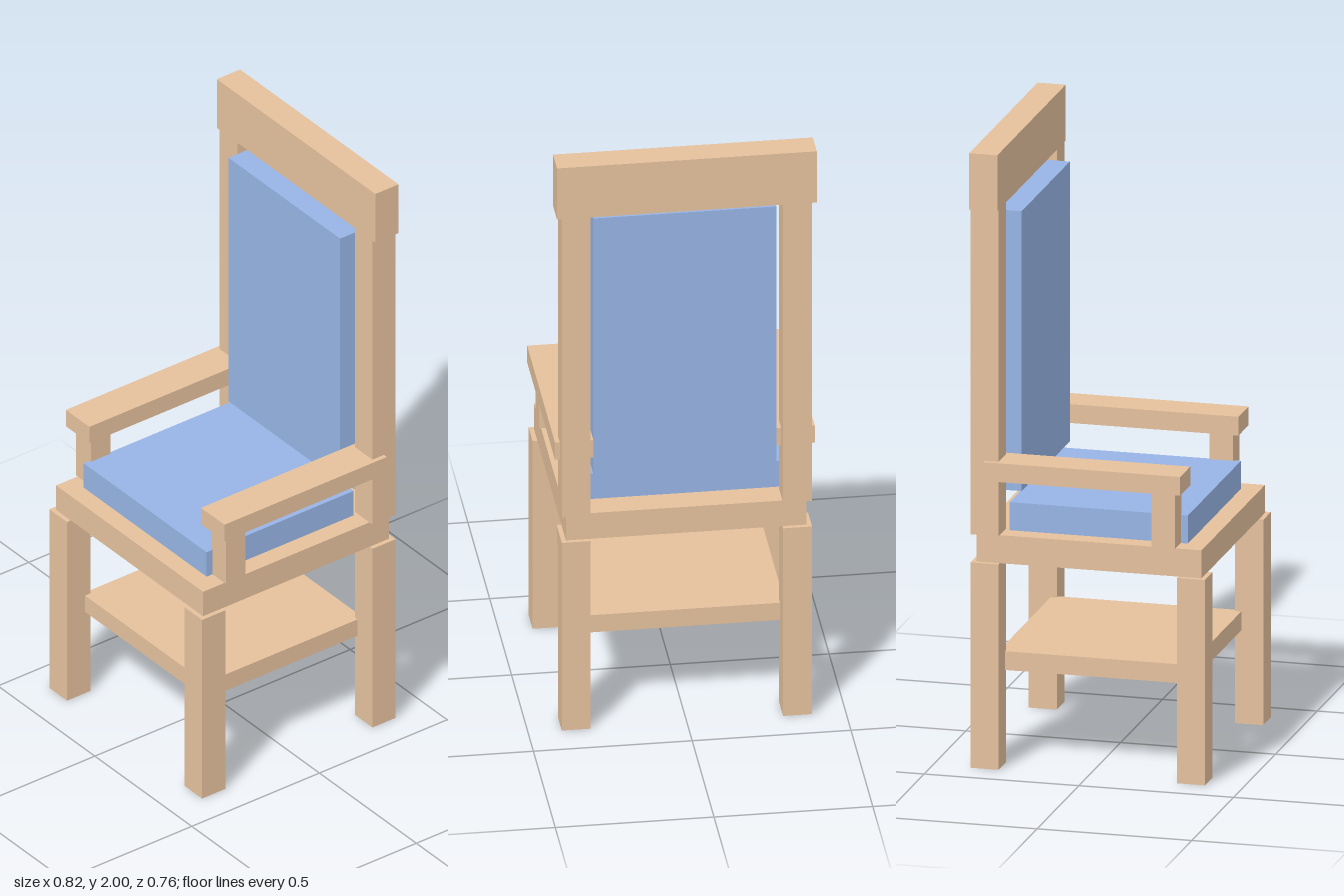
import * as THREE from 'three';

export function createModel() {
  const model = new THREE.Group();
  model.name = 'armchair';

  const wood = new THREE.MeshStandardMaterial({ color: 0xe4c09c });
  wood.name = 'light wood';
  const fabric = new THREE.MeshStandardMaterial({ color: 0x97b4e4 });
  fabric.name = 'blue fabric';

  // Box given by its extents on each axis
  function box(name, material, [x0, x1], [y0, y1], [z0, z1]) {
    const mesh = new THREE.Mesh(new THREE.BoxGeometry(x1 - x0, y1 - y0, z1 - z0), material);
    mesh.position.set((x0 + x1) / 2, (y0 + y1) / 2, (z0 + z1) / 2);
    mesh.name = name;
    model.add(mesh);
  }

  // The same box on both sides
  function pair(name, material, [x0, x1], y, z) {
    box('left' + name, material, [x0, x1], y, z);
    box('right' + name, material, [-x1, -x0], y, z);
  }

  // Base: four legs, low shelf let into the legs, and seat frame
  pair('FrontLeg', wood, [0.303, 0.394], [0, 0.667], [0.288, 0.379]);
  pair('BackLeg', wood, [0.303, 0.394], [0, 0.667], [-0.379, -0.288]);
  box('lowerShelf', wood, [-0.318, 0.318], [0.303, 0.364], [-0.308, 0.308]);
  box('seatFrame', wood, [-0.379, 0.379], [0.667, 0.758], [-0.364, 0.364]);

  // Backrest: posts and top rail
  pair('BackPost', wood, [0.303, 0.394], [0.758, 1.818], [-0.379, -0.288]);
  box('topRail', wood, [-0.409, 0.409], [1.818, 2], [-0.379, -0.288]);

  // Armrests on short front posts
  pair('ArmPost', wood, [0.31, 0.386], [0.758, 0.939], [0.204, 0.28]);
  pair('Armrest', wood, [0.288, 0.409], [0.939, 1], [-0.333, 0.303]);

  // Cushions
  box('seatCushion', fabric, [-0.317, 0.317], [0.758, 0.849], [-0.273, 0.303]);
  box('backCushion', fabric, [-0.288, 0.288], [0.879, 1.788], [-0.333, -0.242]);

  return model;
}
